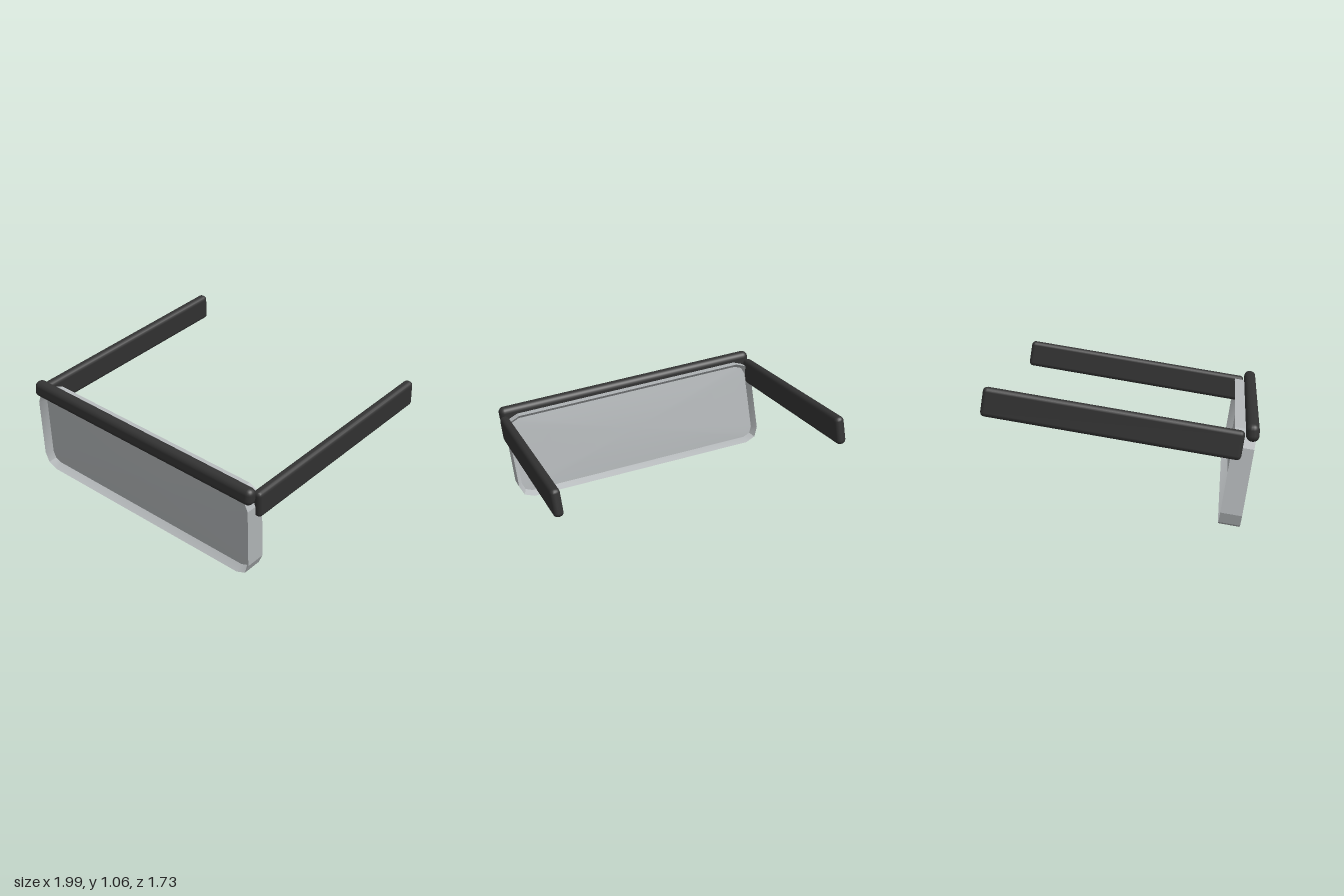
import * as THREE from 'three';
import { toCreasedNormals } from 'three/addons/utils/BufferGeometryUtils.js';
import { RoundedBoxGeometry } from 'three/addons/geometries/RoundedBoxGeometry.js';

const ROLL = -0.101, PITCH = 0.148;
const frameMaterial = new THREE.MeshStandardMaterial({ color: 0x333333 });
frameMaterial.name = 'charcoal frame';
const lensMaterial = new THREE.MeshStandardMaterial({ color: 0xb6babc });
lensMaterial.name = 'pale grey lens';

// Rectangle outline with two-segment rounded corners, counter-clockwise
function outline(inset) {
  const w = 0.944 - inset, h = 0.315 - inset, r = 0.1 - inset;
  const points = [];
  for (let corner = 0; corner < 4; corner++) {
    const sx = corner === 0 || corner === 3 ? 1 : -1;
    const sy = corner < 2 ? 1 : -1;
    for (let k = 0; k <= 2; k++) {
      const a = (corner + k / 2) * Math.PI / 2;
      points.push([sx * (w - r) + r * Math.cos(a), sy * (h - r) + r * Math.sin(a)]);
    }
  }
  return points;
}

// Solid lens: a dished panel on the front and back inside a sharp rim
function lensGeometry() {
  const half = 0.0685, inset = 0.03, panelZ = 0.02, bulge = 0.012;
  const panel = [0, 0.35, 0.7, 1].map(s => [inset, s, panelZ + bulge * (1 - s * s)]);
  const rings = [
    ...panel, [0, 1, half], [0, 1, -half],
    ...panel.map(([i, s, z]) => [i, s, -z]).reverse(),
  ];
  const positions = [], index = [], n = 12;
  for (const [i, s, z] of rings)
    for (const [x, y] of outline(i)) positions.push(x * s, y * s, z);
  for (let r = 0; r < rings.length - 1; r++) {
    for (let j = 0; j < n; j++) {
      const a = r * n + j, b = r * n + (j + 1) % n;
      if (r < rings.length - 2) index.push(a, a + n, b + n);
      if (r > 0) index.push(a, b + n, b);
    }
  }
  const geometry = new THREE.BufferGeometry();
  geometry.setAttribute('position', new THREE.Float32BufferAttribute(positions, 3));
  geometry.setIndex(index);
  return toCreasedNormals(geometry, 0.35);
}

export function createModel() {
  const model = new THREE.Group();
  model.name = 'visorGlasses';

  // Everything leans sideways together
  const body = new THREE.Group();
  body.name = 'tiltedBody';
  body.rotation.z = ROLL;
  body.position.set(-0.077 * Math.cos(ROLL), -0.077 * Math.sin(ROLL), 0);
  model.add(body);

  function add(name, geometry, material, x, y, z) {
    const mesh = new THREE.Mesh(geometry, material);
    mesh.name = name;
    mesh.position.set(x, y, z);
    mesh.rotation.x = PITCH;
    body.add(mesh);
    return mesh;
  }

  add('lens', lensGeometry(), lensMaterial, 0, 0.4, 0.7335);

  // Brow bar across the top of the lens
  const bar = new RoundedBoxGeometry(1.94, 0.115, 0.083, 3, 0.039);
  add('browBar', bar, frameMaterial, 0, 0.709, 0.821).rotation.x = 0;

  // Side arms
  const arm = new RoundedBoxGeometry(0.066, 0.188, 1.635, 2, 0.028);
  for (const [name, side] of [['leftArm', 1], ['rightArm', -1]])
    add(name, arm, frameMaterial, side * 0.948, 0.748, -0.045);

  return model;
}
